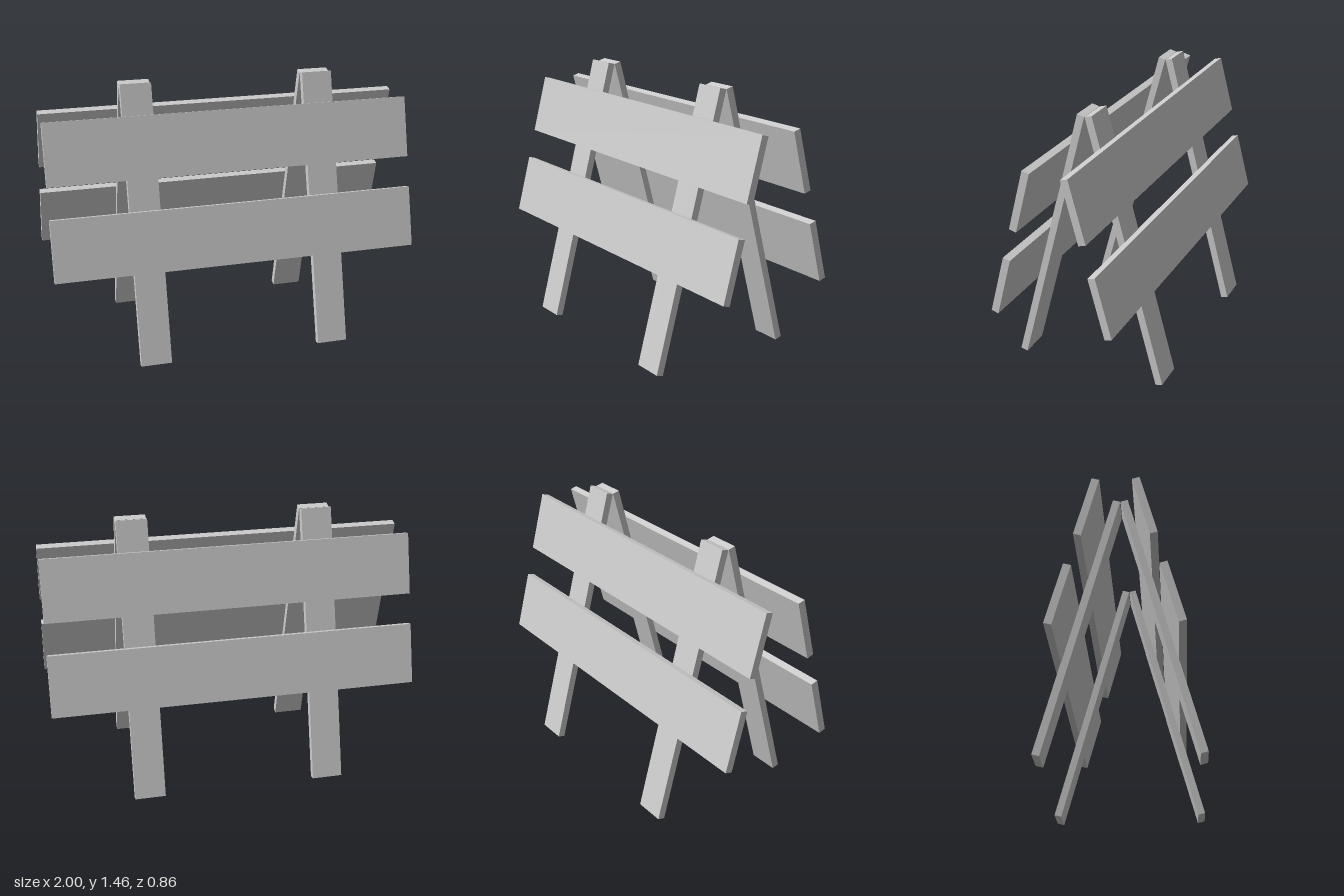
import * as THREE from 'three';

const TILT = THREE.MathUtils.degToRad(15);

export function createModel() {
  const model = new THREE.Group();
  model.name = 'trestleBarrier';
  const grey = new THREE.MeshStandardMaterial({ color: 0xcccccc });
  grey.name = 'plain grey';

  function board(name, parent, size, position) {
    const mesh = new THREE.Mesh(new THREE.BoxGeometry(...size), grey);
    mesh.name = name;
    mesh.position.set(...position);
    parent.add(mesh);
  }

  // Two leaning frames that meet at the top
  for (const [side, s] of [['front', 1], ['back', -1]]) {
    const frame = new THREE.Group();
    frame.name = side + 'Frame';
    frame.position.set(0, 0.732, 0.215 * s);
    frame.rotation.x = -TILT * s;

    // Legs
    board(side + 'RightLeg', frame, [0.166, 1.504, 0.04], [-0.494, 0, 0]);
    board(side + 'LeftLeg', frame, [0.166, 1.504, 0.04], [0.507, 0, 0]);

    // Wide planks on the outer face, sunk slightly into the legs
    board(side + 'UpperPlank', frame, [2, 0.333, 0.04], [0, 0.417, 0.038 * s]);
    board(side + 'LowerPlank', frame, [2, 0.33, 0.04], [0, -0.085, 0.038 * s]);
    model.add(frame);
  }
  return model;
}
